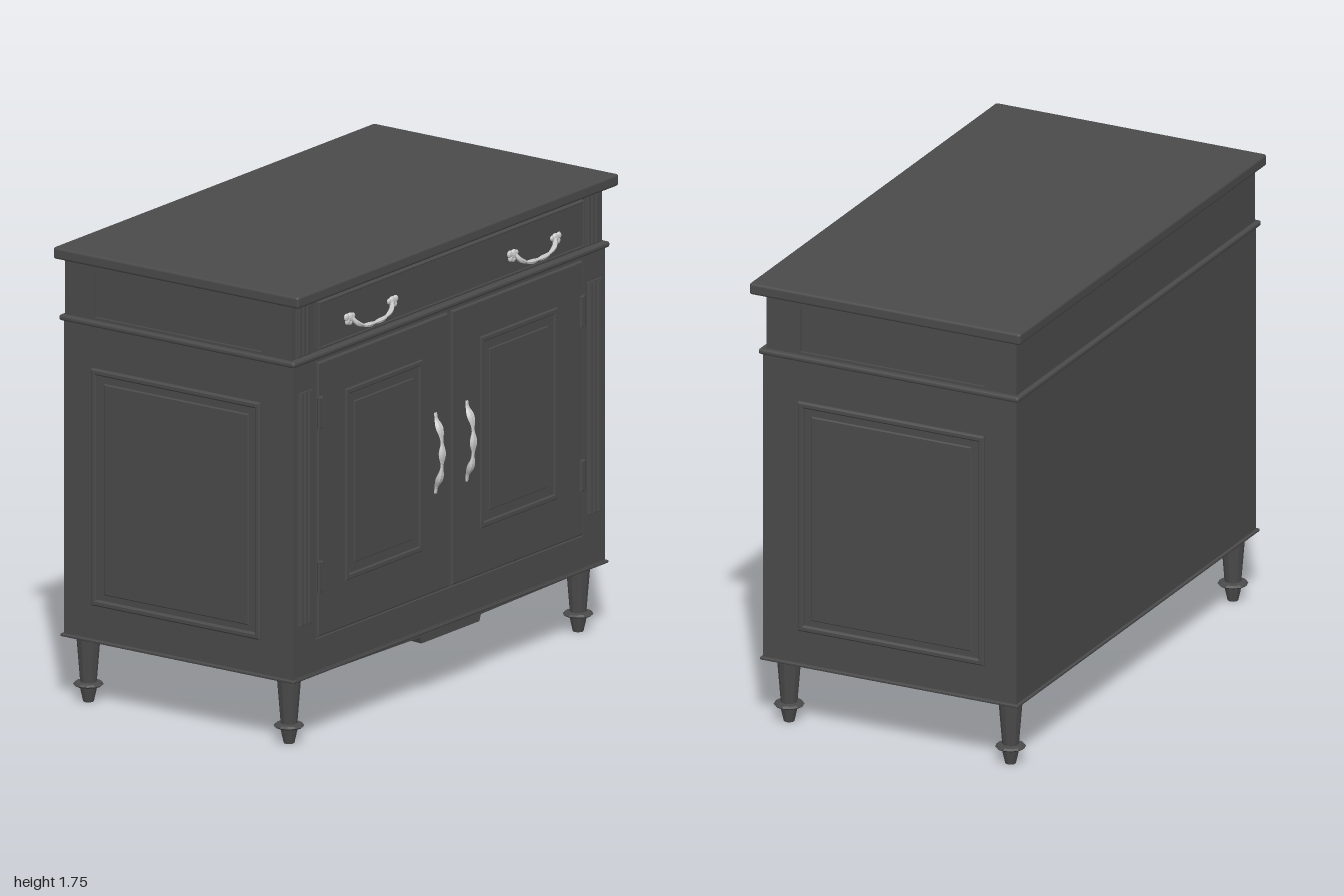
import * as THREE from 'three';
import { RoundedBoxGeometry } from 'three/addons/geometries/RoundedBoxGeometry.js';

const wood = new THREE.MeshStandardMaterial({ color: 0x4a4a4a });
const woodFlat = new THREE.MeshStandardMaterial({ color: 0x4a4a4a, flatShading: true });
const metal = new THREE.MeshStandardMaterial({ color: 0xcccccc, flatShading: true });

function add(parent, name, geometry, material = wood) {
  const mesh = new THREE.Mesh(geometry, material);
  mesh.name = name;
  parent.add(mesh);
  return mesh;
}

// Box given by its limits on each axis, optionally with rounded edges
function box(parent, name, [x0, x1], [y0, y1], [z0, z1], round = 0) {
  const size = [x1 - x0, y1 - y0, z1 - z0];
  const g = round ? new RoundedBoxGeometry(...size, 2, round) : new THREE.BoxGeometry(...size);
  const mesh = add(parent, name, g);
  mesh.position.set((x0 + x1) / 2, (y0 + y1) / 2, (z0 + z1) / 2);
  return mesh;
}

function rectPoints(w, h) {
  return [[-w, -h], [w, -h], [w, h], [-w, h]].map(([x, y]) => new THREE.Vector2(x / 2, y / 2));
}

// Bevelled rectangular plate facing +z from z = 0; a border turns it into a frame
function plate(w, h, depth, border = 0, bevel = 0.004) {
  const b = Math.min(bevel, depth / 2);
  const shape = new THREE.Shape(rectPoints(w - 2 * b, h - 2 * b));
  if (border) shape.holes.push(new THREE.Path(rectPoints(w - 2 * border + 2 * b, h - 2 * border + 2 * b).reverse()));
  return new THREE.ExtrudeGeometry(shape, {
    depth: depth - b, bevelEnabled: b > 0, bevelThickness: b, bevelSize: b, bevelSegments: 1,
  });
}

// Tube whose thickness follows radius(t); flat squeezes it along z
function taperedTube(points, segments, radius, flat = 1) {
  const curve = new THREE.CatmullRomCurve3(points.map((p) => new THREE.Vector3(...p)));
  const sides = 6;
  const g = new THREE.TubeGeometry(curve, segments, 1, sides);
  const pos = g.attributes.position;
  const v = new THREE.Vector3();
  for (let i = 0; i < pos.count; i++) {
    const t = Math.floor(i / (sides + 1)) / segments;
    const c = curve.getPointAt(t);
    v.fromBufferAttribute(pos, i).sub(c).multiplyScalar(radius(t));
    v.z *= flat;
    v.add(c);
    pos.setXYZ(i, v.x, v.y, v.z);
  }
  g.computeVertexNormals();
  return g;
}

// Drooping drawer handle with a lobed rosette at each end
function drawerPull() {
  const pull = new THREE.Group();
  pull.name = 'drawerPull';
  add(pull, 'bail', taperedTube(
    [[-0.125, 0.018, 0.008], [-0.11, -0.005, 0.018], [-0.065, -0.026, 0.022], [0, -0.031, 0.022],
      [0.065, -0.026, 0.022], [0.11, -0.005, 0.018], [0.125, 0.018, 0.008]],
    36, (t) => 0.0055 + 0.004 * Math.abs(Math.sin(t * Math.PI * 4))), metal);
  for (const s of [-1, 1]) {
    for (const [x, y, r] of [[0.13, 0.018, 0.018], [0.152, 0.022, 0.014], [0.147, 0.004, 0.013], [0.112, 0.02, 0.011], [0.13, 0, 0.013]]) {
      const lobe = add(pull, 'rosetteLobe', new THREE.SphereGeometry(r, 8, 6), metal);
      lobe.scale.z = 0.6;
      lobe.position.set(s * x, y, 0.004);
    }
  }
  return pull;
}

// Bowed upright door handle with a waisted outline
function doorPull() {
  const g = taperedTube(
    [[0, -0.155, 0.003], [0, -0.125, 0.008], [0, -0.08, 0.028], [0, 0, 0.034], [0, 0.08, 0.028], [0, 0.125, 0.008], [0, 0.155, 0.003]],
    32, (t) => {
      if (t === 0 || t === 1) return 0.008;
      return 0.015 + 0.007 * Math.cos((t - 0.5) * Math.PI * 6.6) * (Math.abs(t - 0.5) < 0.15 ? 1 : 0.8);
    }, 0.45);
  const mesh = new THREE.Mesh(g, metal);
  mesh.name = 'doorPull';
  return mesh;
}

// Door slab with moulded frame, raised field, hinges and handle; s is its side
function door(s) {
  const d = new THREE.Group();
  d.name = s > 0 ? 'leftDoor' : 'rightDoor';
  add(d, 'slab', plate(0.81, 1.05, 0.014)).position.set(s * 0.418, 0.925, 0.508);
  add(d, 'moulding', plate(0.48, 0.735, 0.009, 0.022)).position.set(s * 0.42, 0.945, 0.521);
  add(d, 'field', plate(0.365, 0.62, 0.006, 0, 0.003)).position.set(s * 0.42, 0.945, 0.521);
  for (const y of [1.26, 0.63]) {
    add(d, 'hingePlate', plate(0.025, 0.12, 0.014)).position.set(s * 0.815, y, 0.518);
    const pin = add(d, 'hingePin', new THREE.CylinderGeometry(0.006, 0.006, 0.12, 8));
    pin.position.set(s * 0.826, y, 0.527);
  }
  const pull = doorPull();
  pull.position.set(s * 0.097, 0.935, 0.522);
  d.add(pull);
  return d;
}

// Three upright reeds in a shallow framed channel
function reeding(x, y0, y1, z) {
  const r = new THREE.Group();
  r.name = 'pilasterReeding';
  const h = y1 - y0;
  add(r, 'channelFrame', plate(0.086, h, 0.006, 0.006, 0.002));
  for (const dx of [-0.025, 0, 0.025]) {
    const reed = add(r, 'reed', new THREE.CylinderGeometry(0.011, 0.011, h - 0.012, 10));
    reed.position.x = dx;
  }
  r.position.set(x, (y0 + y1) / 2, z);
  return r;
}

// Apron underside: a stepped front outline that fades out towards the back
function apronGeometry() {
  const top = 0.262;
  const outline = [[-0.96, 0.27], [-0.96, 0.26], [-0.19, 0.247], [-0.18, 0.222], [0.18, 0.222], [0.19, 0.247], [0.96, 0.26], [0.96, 0.27]];
  const g = new THREE.ExtrudeGeometry(new THREE.Shape(outline.map((p) => new THREE.Vector2(...p))), { depth: 1.05, bevelEnabled: false });
  g.translate(0, 0, -0.528);
  const pos = g.attributes.position;
  for (let i = 0; i < pos.count; i++) {
    const t = (pos.getZ(i) + 0.528) / 1.05;
    if (pos.getY(i) < top) pos.setY(i, THREE.MathUtils.lerp(0.258, pos.getY(i), t));
  }
  g.computeVertexNormals();
  return g;
}

export function createModel() {
  const model = new THREE.Group();
  model.name = 'sideboard';

  // Carcass, top and horizontal mouldings
  box(model, 'lowerBody', [-0.97, 0.97], [0.262, 1.475], [-0.53, 0.508]);
  box(model, 'upperBody', [-0.955, 0.955], [1.48, 1.71], [-0.528, 0.505]);
  box(model, 'top', [-1, 1], [1.705, 1.75], [-0.56, 0.56], 0.01);
  box(model, 'waistMoulding', [-0.985, 0.985], [1.468, 1.49], [-0.545, 0.53], 0.009);
  box(model, 'baseMoulding', [-0.982, 0.982], [0.256, 0.267], [-0.54, 0.525], 0.004);
  add(model, 'apron', apronGeometry(), woodFlat);

  // Face frame around the doors
  box(model, 'bottomRail', [-0.97, 0.97], [0.267, 0.392], [0.5, 0.517]);
  box(model, 'topRail', [-0.97, 0.97], [1.457, 1.47], [0.5, 0.517]);

  // Drawer front with its handles
  add(model, 'drawerFront', plate(1.65, 0.18, 0.024)).position.set(0, 1.595, 0.503);
  add(model, 'drawerBead', plate(1.65, 0.18, 0.006, 0.008, 0.002)).position.set(0, 1.595, 0.525);

  for (const s of [-1, 1]) {
    const pull = drawerPull();
    pull.position.set(s * 0.508, 1.568, 0.528);
    model.add(pull);
    model.add(door(s));

    // Front pilasters
    box(model, 'pilaster', [s * 0.902 - 0.068, s * 0.902 + 0.068], [0.392, 1.47], [0.5, 0.517]);
    model.add(reeding(s * 0.9, 0.465, 1.36, 0.516));
    model.add(reeding(s * 0.9, 1.495, 1.692, 0.506));

    // Side panelling: large moulded panel below, sunk panel above
    const side = new THREE.Group();
    side.name = s > 0 ? 'leftSide' : 'rightSide';
    side.rotation.y = s * Math.PI / 2;
    model.add(side);
    const sx = s * 0.015; // panel centre lies slightly behind the middle
    add(side, 'panelMoulding', plate(0.77, 0.91, 0.014, 0.024, 0.006)).position.set(sx, 0.853, 0.969);
    add(side, 'panelField', plate(0.66, 0.81, 0.008)).position.set(sx, 0.85, 0.969);
    const upper = new THREE.Shape([[-0.505, 1.48], [0.528, 1.48], [0.528, 1.706], [-0.505, 1.706]].map(([x, y]) => new THREE.Vector2(s * x, y)));
    upper.holes.push(new THREE.Path(rectPoints(0.76, 0.175).map((p) => new THREE.Vector2(p.x + sx, p.y + 1.588))));
    add(side, 'upperFrame', new THREE.ExtrudeGeometry(upper, { depth: 0.012, bevelEnabled: false })).position.z = 0.954;

    // Turned legs
    for (const z of [0.445, -0.47]) {
      const profile = [[0, 0], [0.02, 0], [0.033, 0.058], [0.05, 0.061], [0.057, 0.067], [0.05, 0.074], [0.031, 0.077], [0.046, 0.262]];
      const leg = add(model, 'leg', new THREE.LatheGeometry(profile.map((p) => new THREE.Vector2(...p)), 12), woodFlat);
      leg.position.set(s * 0.9, 0, z);
    }
  }
  return model;
}
